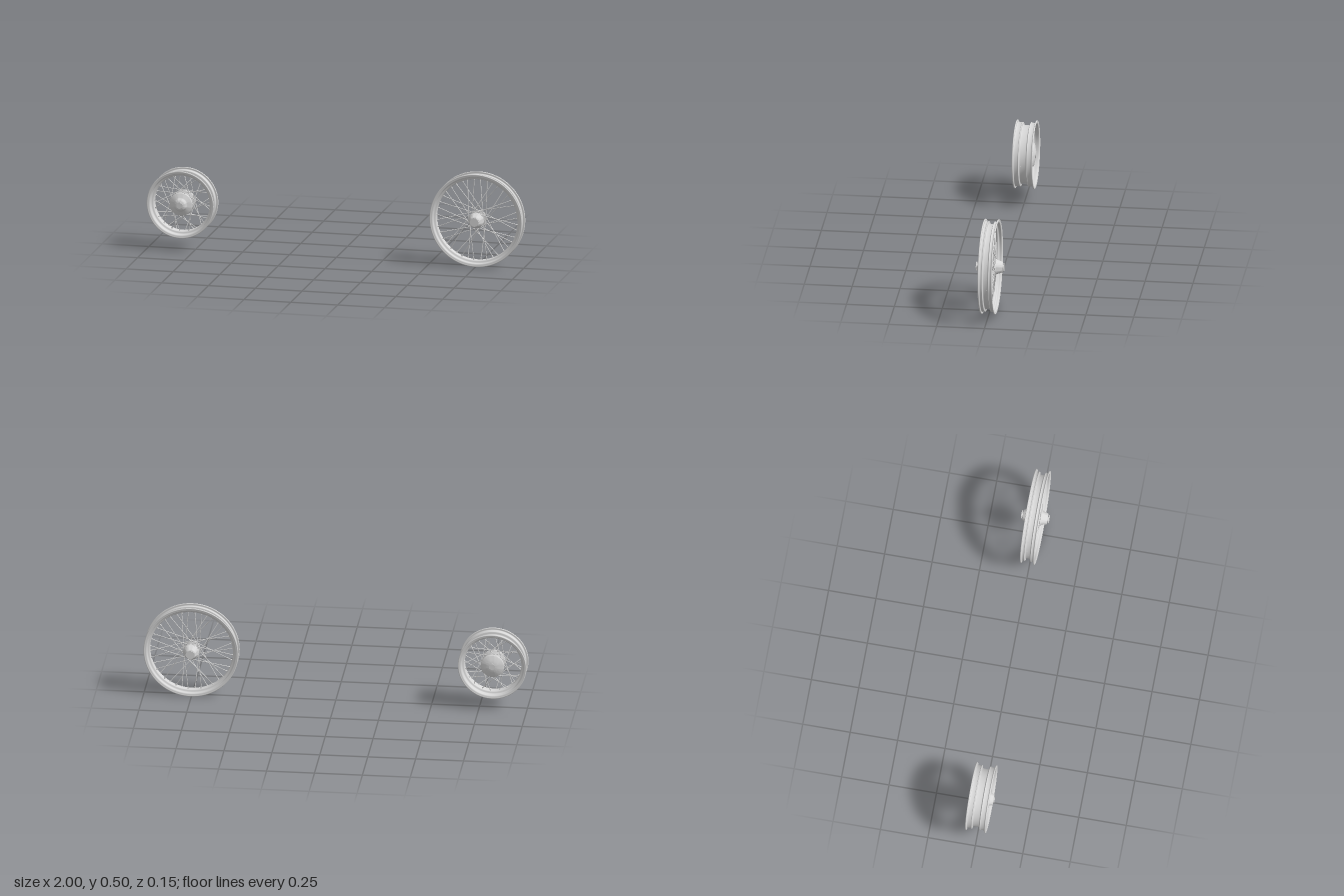
import * as THREE from 'three';
import { toCreasedNormals } from 'three/addons/utils/BufferGeometryUtils.js';

const metal = new THREE.MeshStandardMaterial({ color: 0xd8d8d8 });
metal.name = 'light grey metal';

function add(group, geometry, name) {
  const mesh = new THREE.Mesh(geometry, metal);
  mesh.name = name;
  group.add(mesh);
  return mesh;
}

// Turned part about the wheel axis; points are [radius, z]
function turned(points, segments) {
  const g = new THREE.LatheGeometry(points.map(([r, z]) => new THREE.Vector2(r, z)), segments);
  return g.rotateX(Math.PI / 2);
}

const flip = (list) => list.map(([r, z]) => [r, -z]).reverse();

// Drop-centre rim: mirrored half profile, smoothed, outer then inner skin
function rimGeometry({ radius: R, half: w, seat, drop, dropHalf: d }) {
  const outer = [
    [drop, d - 0.003], [drop + 0.002, d], [seat, d + 0.002], [seat + 0.002, d + 0.004],
    [seat, d + 0.007], [seat, w - 0.01], [seat + 0.003, w - 0.007], [R - 0.004, w - 0.007],
    [R - 0.001, w - 0.006], [R, w - 0.0035], [R - 0.001, w - 0.001], [R - 0.004, w],
  ];
  const inner = [
    [R - 0.008, w - 0.001], [seat, w - 0.002], [seat - 0.004, w - 0.005],
    [seat - 0.005, d + 0.008], [drop - 0.002, d + 0.003], [drop - 0.004, d],
  ];
  const loop = [...flip(outer), ...outer, ...inner, ...flip(inner)];
  const curve = new THREE.CatmullRomCurve3(
    loop.map(([r, z]) => new THREE.Vector3(r, z, 0)), true, 'centripetal');
  return turned(curve.getPoints(loop.length * 4).map((p) => [p.x, p.y]), 80);
}

// Hub body: smooth curves with crisp outer corners
const hubGeometry = (points) => toCreasedNormals(turned(points, 48), 0.9);

// Straight rod between two points
function rod(a, b, radius) {
  const dir = b.clone().sub(a);
  const g = new THREE.CylinderGeometry(radius, radius, dir.length(), 10);
  g.applyQuaternion(new THREE.Quaternion().setFromUnitVectors(
    new THREE.Vector3(0, 1, 0), dir.clone().normalize()));
  const mid = a.clone().add(b).multiplyScalar(0.5);
  return g.translate(mid.x, mid.y, mid.z);
}

// Crossed tangential spokes, alternating between the two hub flanges
function addSpokes(wheel, { count, hubR, hubZ, rimR, rimZ, sweep, thick }) {
  const spokes = new THREE.Group();
  spokes.name = 'spokes';
  const polar = (r, t, z) => new THREE.Vector3(r * Math.cos(t), r * Math.sin(t), z);
  for (let i = 0; i < count; i++) {
    const side = i % 2 ? 1 : -1;
    const lean = (i >> 1) % 2 ? 1 : -1;
    const angle = ((i + 0.5) / count) * Math.PI * 2;
    const a = polar(hubR, angle + lean * sweep, side * (hubZ + lean * 0.002));
    const b = polar(rimR, angle, side * rimZ);
    add(spokes, rod(a, b, thick), 'spoke');
    // Nipple at the rim end
    add(spokes, rod(b.clone().lerp(a, 0.06), b, thick * 1.6), 'nipple');
  }
  wheel.add(spokes);
}

// Disc or nut lying across the axle
function addDisc(wheel, radius, thickness, z, sides, name) {
  const disc = add(wheel, new THREE.CylinderGeometry(radius, radius, thickness, sides), name);
  disc.rotation.x = Math.PI / 2;
  disc.position.z = z;
}

function largeWheel() {
  const wheel = new THREE.Group();
  wheel.name = 'largeWheel';
  add(wheel, rimGeometry({ radius: 0.2475, half: 0.038, seat: 0.234, drop: 0.221, dropHalf: 0.013 }), 'largeRim');
  // Hub barrel with flanged conical ends
  const end = [
    [0.018, 0.016], [0.02, 0.022], [0.026, 0.026], [0.038, 0.027], [0.041, 0.028],
    [0.042, 0.03], [0.041, 0.032], [0.038, 0.035], [0.036, 0.039], [0.029, 0.061],
    [0.028, 0.063], [0.026, 0.065], [0, 0.065],
  ];
  add(wheel, hubGeometry([...flip(end), ...end]), 'largeHub');
  for (const s of [-1, 1]) {
    addDisc(wheel, 0.023, 0.003, s * 0.0715, 32, 'bearingCap');
    addDisc(wheel, 0.012, 0.01, s * 0.068, 32, 'axleEnd');
  }
  addSpokes(wheel, { count: 40, hubR: 0.038, hubZ: 0.03, rimR: 0.22, rimZ: 0.005, sweep: 1.25, thick: 0.002 });
  wheel.position.set(0.7525, 0.249, -0.001);
  return wheel;
}

function smallWheel() {
  const wheel = new THREE.Group();
  wheel.name = 'smallWheel';
  add(wheel, rimGeometry({ radius: 0.179, half: 0.054, seat: 0.166, drop: 0.153, dropHalf: 0.018 }), 'smallRim');
  // Wide hub: plain disc at the back, stepped cone at the front
  add(wheel, hubGeometry([
    [0, -0.05], [0.03, -0.05], [0.034, -0.048], [0.058, -0.043], [0.061, -0.041],
    [0.062, -0.037], [0.061, -0.033], [0.058, -0.031], [0.036, -0.026], [0.031, -0.02],
    [0.03, 0.018], [0.033, 0.024], [0.058, 0.03], [0.061, 0.032], [0.062, 0.036],
    [0.061, 0.039], [0.058, 0.042], [0.038, 0.046], [0.034, 0.05], [0.03, 0.062],
    [0.027, 0.065], [0, 0.065],
  ]), 'smallHub');
  // Hexagonal axle nuts
  addDisc(wheel, 0.018, 0.006, -0.051, 6, 'axleNut');
  addDisc(wheel, 0.018, 0.006, 0.067, 6, 'axleNut');
  addSpokes(wheel, { count: 40, hubR: 0.057, hubZ: 0.036, rimR: 0.151, rimZ: 0.009, sweep: 1.1, thick: 0.002 });
  wheel.position.set(-0.821, 0.246, -0.001);
  return wheel;
}

export function createModel() {
  const model = new THREE.Group();
  model.name = 'wheelPair';
  model.add(largeWheel(), smallWheel());
  return model;
}
